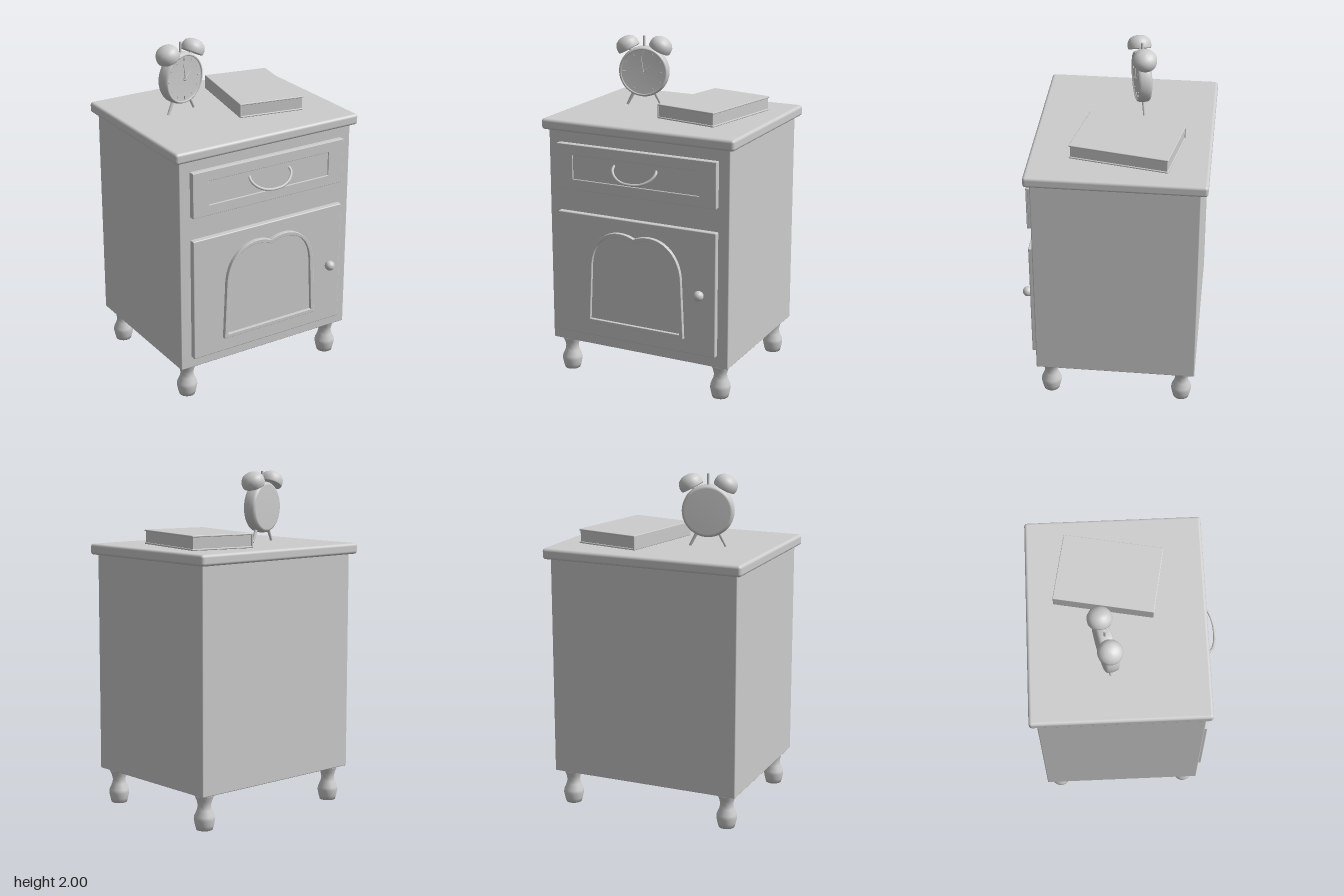
import * as THREE from 'three';
import { RoundedBoxGeometry } from 'three/addons/geometries/RoundedBoxGeometry.js';

const grey = new THREE.MeshStandardMaterial({ color: 0xcccccc });
grey.name = 'plain grey';

function add(parent, name, geometry, x = 0, y = 0, z = 0) {
  const mesh = new THREE.Mesh(geometry, grey);
  mesh.name = name;
  mesh.position.set(x, y, z);
  parent.add(mesh);
  return mesh;
}

// Rounded box given by its limits on each axis
function block(parent, name, [x0, x1], [y0, y1], [z0, z1], r) {
  return add(parent, name, new RoundedBoxGeometry(x1 - x0, y1 - y0, z1 - z0, 3, r),
    (x0 + x1) / 2, (y0 + y1) / 2, (z0 + z1) / 2);
}

// Round rod between two points
function rod(parent, name, a, b, r0, r1 = r0) {
  const from = new THREE.Vector3(...a), to = new THREE.Vector3(...b);
  const dir = to.clone().sub(from);
  const mesh = add(parent, name, new THREE.CylinderGeometry(r1, r0, dir.length(), 12));
  mesh.position.copy(from).add(to).multiplyScalar(0.5);
  mesh.quaternion.setFromUnitVectors(new THREE.Vector3(0, 1, 0), dir.normalize());
  return mesh;
}

const lathe = (pts, n = 32) => new THREE.LatheGeometry(pts.map(p => new THREE.Vector2(...p)), n);

function rectangle(Type, w, h) {
  const s = new Type();
  s.moveTo(-w, -h); s.lineTo(w, -h); s.lineTo(w, h); s.lineTo(-w, h); s.closePath();
  return s;
}

// Double-humped arch, inset by t
function arch(Type, t) {
  const s = new Type(), w = 0.318 - t, top = 0.95 - t, b = 0.37 + t;
  s.moveTo(-w, b);
  s.lineTo(w, b);
  s.lineTo(w - 0.015, 0.7);
  s.bezierCurveTo(w - 0.015, 0.86, 0.2, top, 0.095, top);
  s.quadraticCurveTo(0.045, top, 0, top - 0.022);
  s.quadraticCurveTo(-0.045, top, -0.095, top);
  s.bezierCurveTo(-0.2, top, -w + 0.015, 0.86, -w + 0.015, 0.7);
  s.closePath();
  return s;
}

function buildCabinet(root) {
  block(root, 'body', [-0.58, 0.58], [0.21, 1.52], [-0.505, 0.447], 0.006);
  block(root, 'tabletop', [-0.615, 0.615], [1.51, 1.575], [-0.545, 0.48], 0.018);

  // Turned feet
  const foot = lathe([[0, 0], [0.047, 0], [0.054, 0.025], [0.061, 0.06], [0.058, 0.08],
    [0.043, 0.115], [0.038, 0.14], [0.044, 0.17], [0.055, 0.195], [0.058, 0.212], [0, 0.212]], 24);
  for (const x of [-0.5, 0.5]) for (const z of [-0.425, 0.37]) add(root, 'foot', foot, x, 0, z);

  // Drawer with a shallow sunken panel
  block(root, 'drawer', [-0.512, 0.512], [1.17, 1.442], [0.43, 0.473], 0.005);
  const border = rectangle(THREE.Shape, 0.508, 0.132);
  border.holes.push(rectangle(THREE.Path, 0.41, 0.075));
  add(root, 'drawerBorder', new THREE.ExtrudeGeometry(border, {
    depth: 0.01, bevelThickness: 0.003, bevelSize: 0.003, bevelSegments: 2,
  }), 0, 1.306, 0.468);

  // Drooping drawer pull
  const pull = new THREE.CatmullRomCurve3([
    [-0.135, 1.345, 0.468], [-0.137, 1.325, 0.49], [-0.115, 1.295, 0.513], [-0.065, 1.27, 0.533], [0, 1.263, 0.539],
    [0.065, 1.27, 0.533], [0.115, 1.295, 0.513], [0.137, 1.325, 0.49], [0.135, 1.345, 0.468],
  ].map(p => new THREE.Vector3(...p)));
  add(root, 'drawerPull', new THREE.TubeGeometry(pull, 48, 0.008, 10));

  // Door, arched frame and inner panel
  block(root, 'door', [-0.512, 0.512], [0.28, 1.03], [0.43, 0.48], 0.006);
  const frame = arch(THREE.Shape, 0.003);
  frame.holes.push(arch(THREE.Path, 0.021));
  add(root, 'archFrame', new THREE.ExtrudeGeometry(frame, {
    depth: 0.025, bevelThickness: 0.003, bevelSize: 0.003, bevelSegments: 2, curveSegments: 20,
  }), 0, 0, 0.475);
  add(root, 'archPanel', new THREE.ShapeGeometry(arch(THREE.Shape, 0.01), 20), 0, 0, 0.485);

  // Door knob
  rod(root, 'knobStem', [0.42, 0.655, 0.475], [0.42, 0.655, 0.5], 0.014);
  add(root, 'doorKnob', new THREE.SphereGeometry(0.03, 24, 16), 0.42, 0.655, 0.509);
}

function buildBook(root) {
  const book = new THREE.Group();
  book.name = 'book';
  book.position.set(0.24, 1.575, -0.07);
  book.rotation.y = -0.188;
  root.add(book);
  block(book, 'backCover', [-0.2, 0.2], [0, 0.01], [-0.288, 0.288], 0.004);
  block(book, 'frontCover', [-0.2, 0.2], [0.075, 0.085], [-0.288, 0.288], 0.004);
  block(book, 'spine', [-0.2, -0.19], [0, 0.085], [-0.288, 0.288], 0.004);
  block(book, 'pages', [-0.195, 0.194], [0.005, 0.08], [-0.282, 0.282], 0.002);
}

function buildClock(root) {
  const clock = new THREE.Group();
  clock.name = 'alarmClock';
  clock.position.set(-0.24, 1.785, -0.105);
  clock.rotation.y = 0.25;
  root.add(clock);

  // Round case with a raised rim around the dial
  const shell = add(clock, 'clockCase', lathe([[0, -0.04], [0.132, -0.04], [0.143, -0.036], [0.151, -0.024],
    [0.153, 0], [0.151, 0.024], [0.146, 0.036], [0.14, 0.04], [0.135, 0.037], [0.134, 0.03], [0, 0.03]], 48));
  shell.rotation.x = Math.PI / 2;

  // Hour marks
  for (let i = 0; i < 12; i++) {
    const a = i * Math.PI / 6, long = i % 3 === 0;
    const mark = add(clock, 'hourMark', new THREE.BoxGeometry(0.005, long ? 0.02 : 0.012, 0.006),
      Math.sin(a) * 0.116, Math.cos(a) * 0.116, 0.032);
    mark.rotation.z = -a;
  }

  // Hands
  rod(clock, 'minuteHand', [0.004, -0.012, 0.038], [-0.012, 0.095, 0.038], 0.004, 0.002);
  rod(clock, 'hourHand', [-0.008, -0.008, 0.036], [0.045, 0.035, 0.036], 0.005, 0.002);
  rod(clock, 'handPin', [0, 0, 0.028], [0, 0, 0.043], 0.007);

  // Bells and splayed legs on both sides, hammer between
  const bell = lathe([[0, 0], [0.066, 0], [0.069, 0.006], [0.07, 0.025], [0.067, 0.043],
    [0.056, 0.062], [0.036, 0.075], [0.015, 0.08], [0, 0.081]]);
  for (const s of [-1, 1]) {
    add(clock, 'bell', bell, s * 0.091, 0.132, 0).rotation.z = -s * 0.48;
    rod(clock, 'bellPost', [s * 0.06, 0.1, 0], [s * 0.097, 0.145, 0], 0.009);
    rod(clock, 'clockLeg', [s * 0.06, -0.12, 0], [s * 0.105, -0.206, 0], 0.01, 0.008);
  }
  rod(clock, 'hammer', [0, 0.14, 0], [0, 0.215, 0], 0.007);
}

export function createModel() {
  const root = new THREE.Group();
  root.name = 'nightstand';
  buildCabinet(root);
  buildBook(root);
  buildClock(root);
  return root;
}
